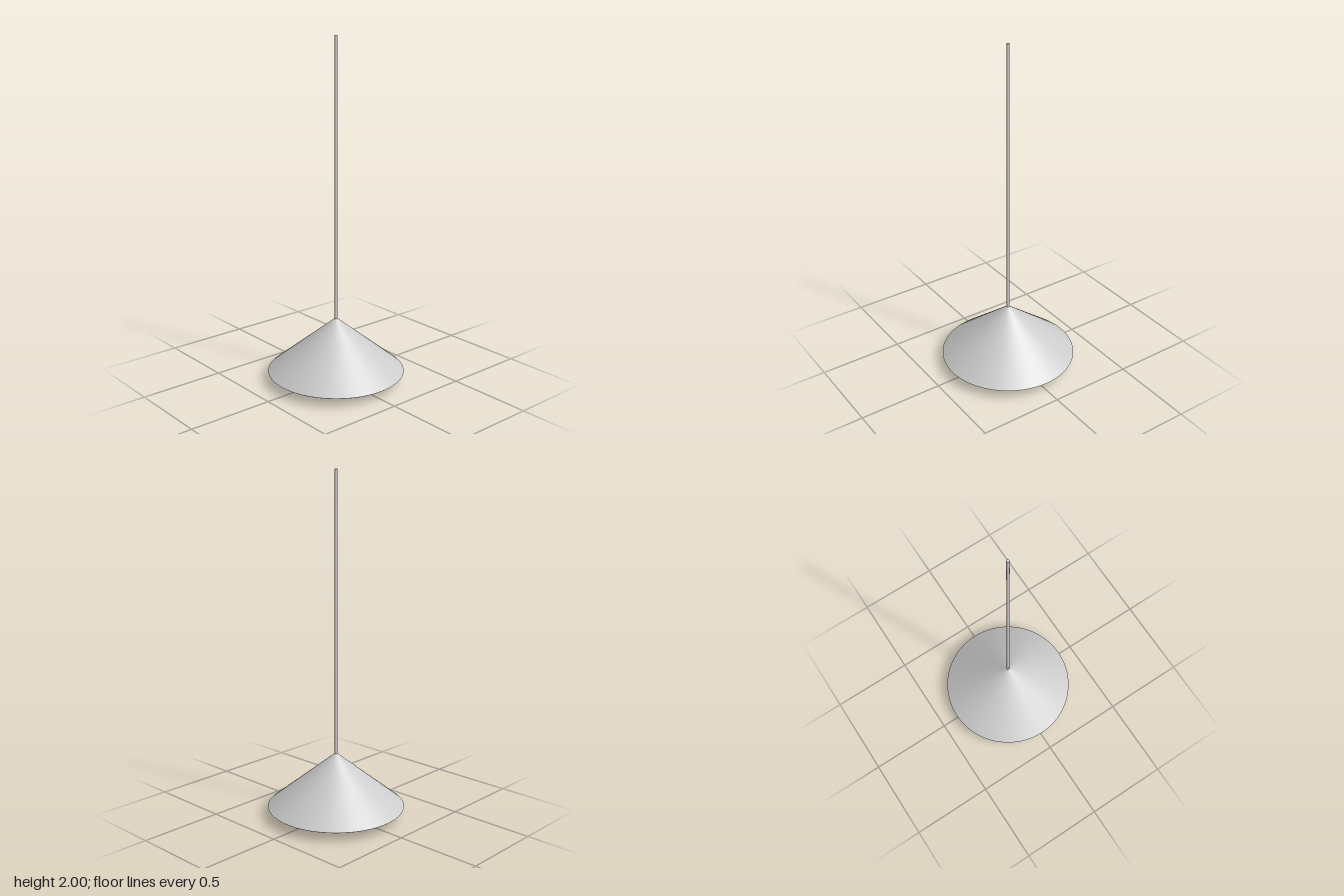
import * as THREE from 'three';

const material = new THREE.MeshStandardMaterial({ color: 0xcccccc });

function add(group, name, geometry, y = 0) {
  const mesh = new THREE.Mesh(geometry, material);
  mesh.name = name;
  mesh.position.y = y;
  group.add(mesh);
}

// Surface of revolution from [radius, height] pairs
const lathe = (pairs) =>
  new THREE.LatheGeometry(pairs.map(([r, y]) => new THREE.Vector2(r, y)), 96);

export function createModel() {
  const model = new THREE.Group();
  model.name = 'pendantLamp';

  // Hollow conical shade: inner cone, flat rim, outer cone with a softened edge
  const shade = new THREE.Group();
  shade.name = 'shade';
  add(shade, 'shadeInside', lathe([[0, 0.34], [0.363, 0.05]]));
  add(shade, 'shadeRim', lathe([[0.363, 0.05], [0.394, 0.05]]));
  add(shade, 'shadeOutside', lathe([[0.394, 0.05], [0.4, 0.055], [0.012, 0.37], [0, 0.374]]));
  model.add(shade);

  // Round bulb peeking out below the rim
  add(model, 'bulb', new THREE.SphereGeometry(0.122, 48, 32), 0.122);

  // Thin suspension rod, running through the shade down to the bulb
  const bottom = 0.235;
  add(model, 'rod', new THREE.CylinderGeometry(0.0085, 0.0085, 2 - bottom, 24), (2 + bottom) / 2);

  return model;
}
